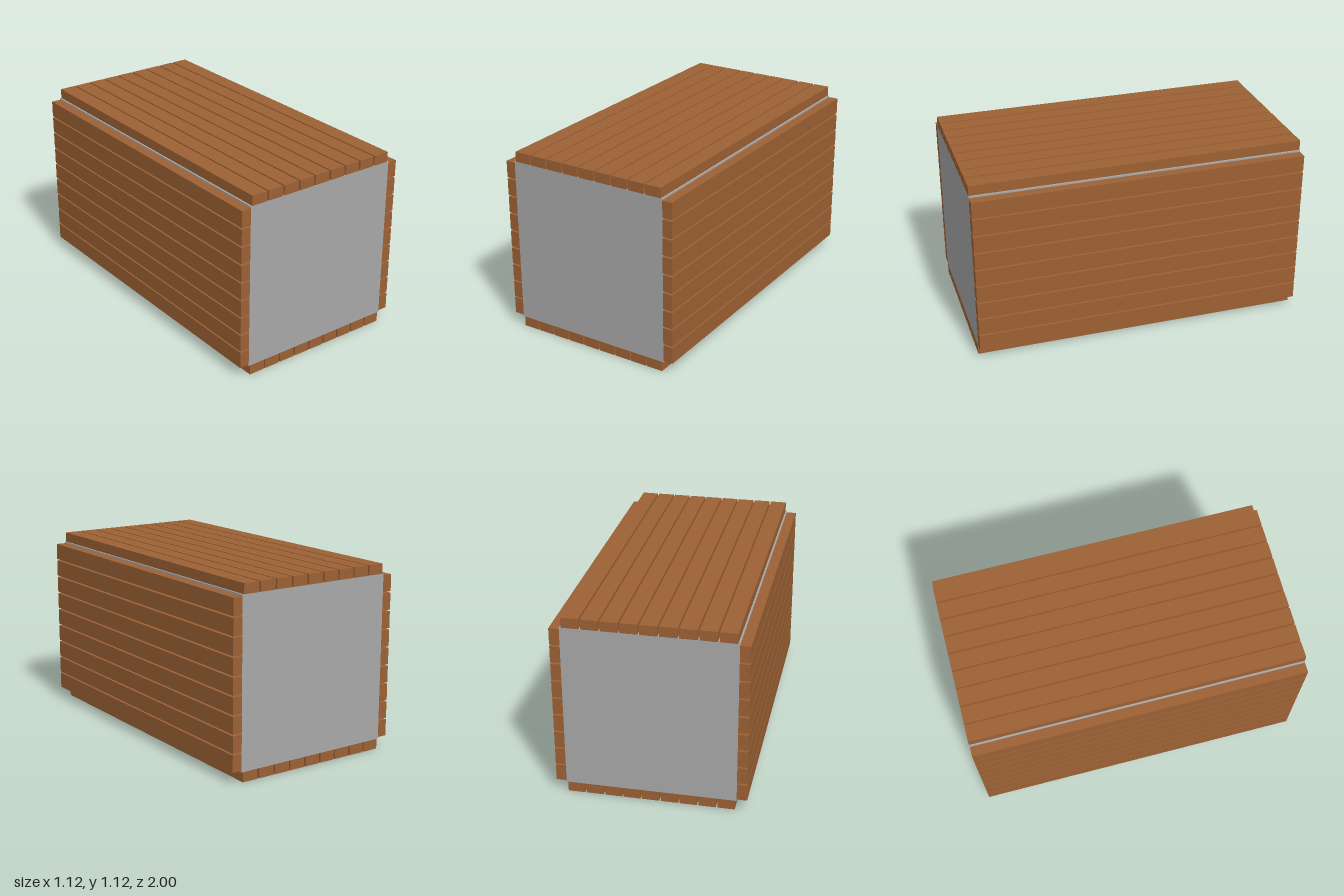
import * as THREE from 'three';

export function createModel() {
  const wood = new THREE.MeshStandardMaterial({ color: 0x9c6134 });
  wood.name = 'brown wood';
  const grey = new THREE.MeshStandardMaterial({ color: 0xa8a8a8 });
  grey.name = 'grey core';

  const core = 1, length = 2, thickness = 0.06;
  const plankWidth = 0.1, pitch = 0.11, count = 9;

  const group = new THREE.Group();
  group.name = 'plankedCrate';

  // Solid block inside the cladding, flush with the plank ends
  const block = new THREE.Mesh(new THREE.BoxGeometry(core, core, length), grey);
  block.name = 'core';
  block.position.y = core / 2 + thickness;
  group.add(block);

  // One row of planks, turned around the core for each of the four sides
  const plank = new THREE.BoxGeometry(plankWidth, thickness, length);
  ['topPlanks', 'leftPlanks', 'bottomPlanks', 'rightPlanks'].forEach((name, side) => {
    const row = new THREE.Group();
    row.name = name;
    row.position.y = block.position.y;
    row.rotation.z = -side * Math.PI / 2;
    for (let i = 0; i < count; i++) {
      const board = new THREE.Mesh(plank, wood);
      board.name = 'plank';
      board.position.set((i - (count - 1) / 2) * pitch, (core + thickness) / 2, 0);
      row.add(board);
    }
    group.add(row);
  });

  return group;
}
